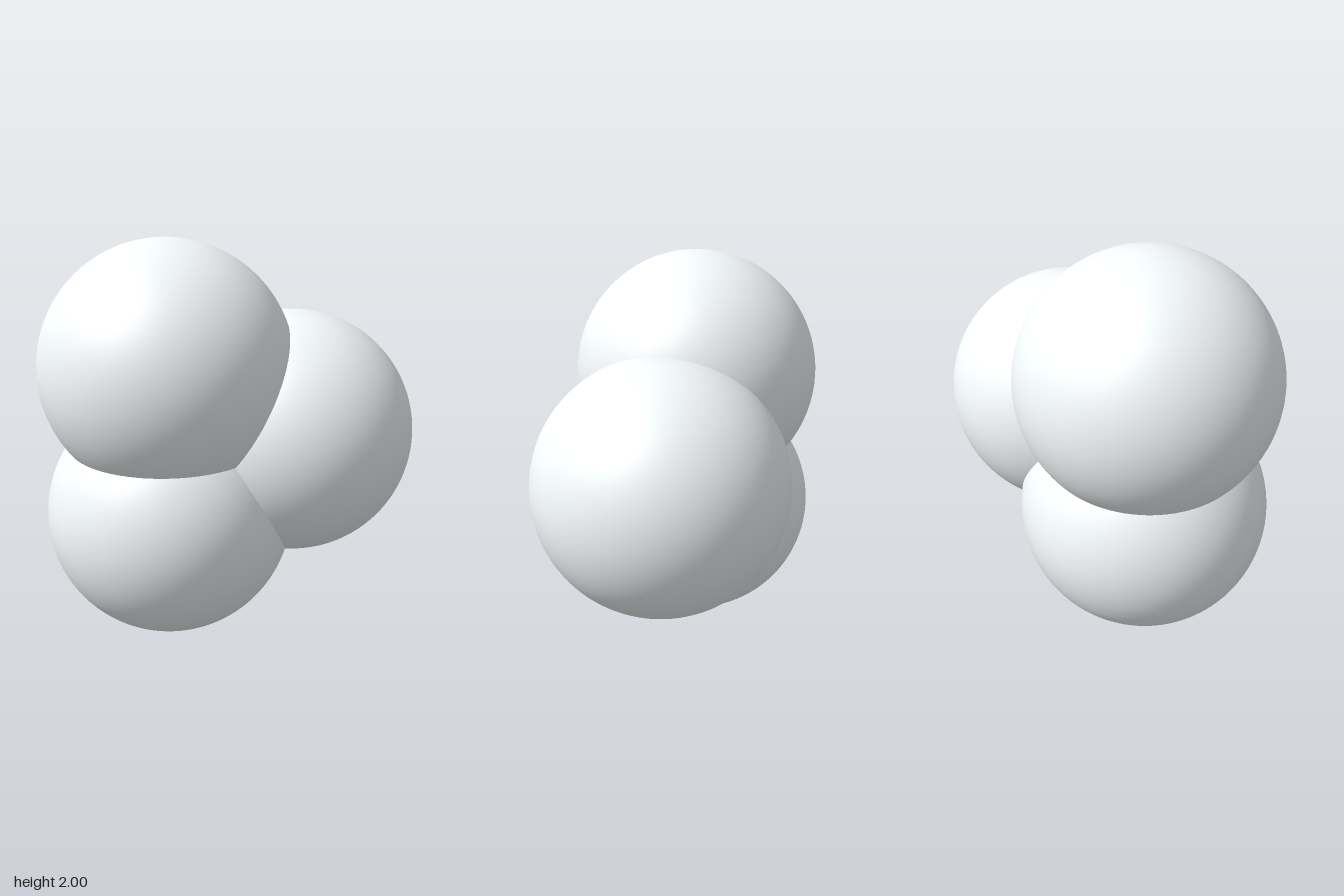
import * as THREE from 'three';

// Three equal spheres overlapping in a triangle
export function createModel() {
  const group = new THREE.Group();
  group.name = 'sphereCluster';
  const radius = 0.625;
  const spacing = 0.75; // distance between neighbouring centres
  const halfWidth = (spacing * Math.sqrt(3)) / 4;

  const geometry = new THREE.SphereGeometry(radius, 96, 64);
  const material = new THREE.MeshStandardMaterial({ color: 0xf6fbfd });

  const spheres = [
    ['upperSphere', -halfWidth, 1 + spacing / 2],
    ['lowerSphere', -halfWidth, 1 - spacing / 2],
    ['sideSphere', halfWidth, 1],
  ];
  for (const [name, x, y] of spheres) {
    const mesh = new THREE.Mesh(geometry, material);
    mesh.name = name;
    mesh.position.set(x, y, 0);
    group.add(mesh);
  }
  return group;
}
